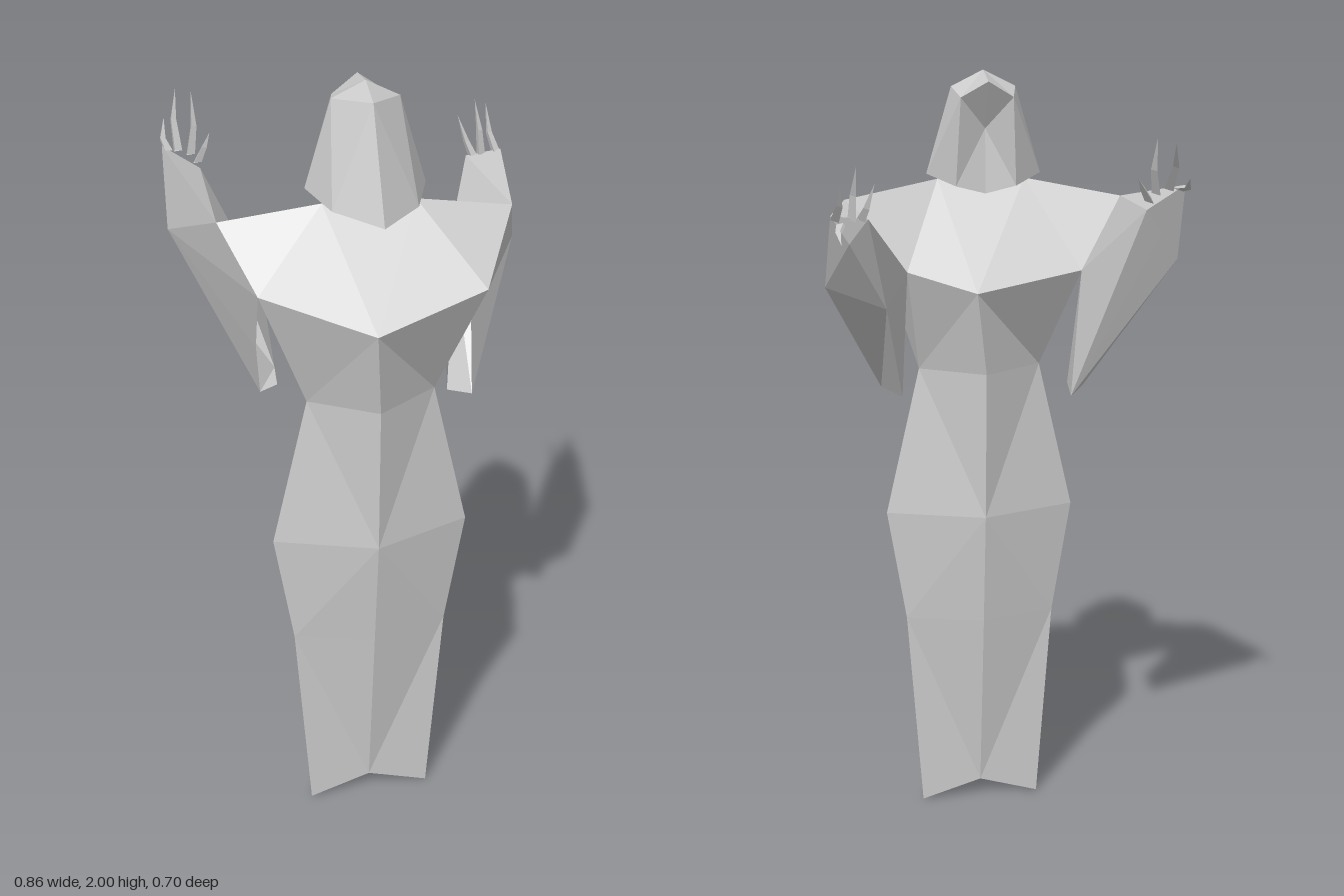
import * as THREE from 'three';

const material = new THREE.MeshStandardMaterial({
  color: 0xcccccc, flatShading: true, side: THREE.DoubleSide,
});

// Faceted panel mesh: named corners, and faces written as lists of corner names
function facets(name, corners, faces) {
  const pos = [];
  for (const face of faces) {
    const p = face.split(' ').map((key) => corners[key]);
    for (let i = 1; i < p.length - 1; i++) pos.push(...p[0], ...p[i], ...p[i + 1]);
  }
  const geo = new THREE.BufferGeometry();
  geo.setAttribute('position', new THREE.Float32BufferAttribute(pos, 3));
  geo.computeVertexNormals();
  const mesh = new THREE.Mesh(geo, material);
  mesh.name = name;
  return mesh;
}

// Robe skirt: diamond cross-sections tapering to a flat notched hem
function skirt() {
  const rows = [ // y, half width, front z, back z
    [1.23, 0.16, 0.28, 0.07],
    [0.84, 0.25, 0.27, 0.085],
    [0.54, 0.2, 0.235, 0.115],
    [0, 0.16, 0.178, 0.172],
  ];
  const corners = {}, faces = [];
  rows.forEach(([y, w, front, back], i) => {
    const mid = i === 3 ? 0.05 : y;
    corners['a' + i] = [0, mid, front];
    corners['b' + i] = [w, y, 0.178];
    corners['c' + i] = [0, mid, back];
    corners['d' + i] = [-w, y, 0.178];
    if (i === 0) return;
    const j = i - 1;
    for (const [center, side] of ['ab', 'cb', 'cd', 'ad']) {
      const [c0, s0, c1, s1] = [center + j, side + j, center + i, side + i];
      if (i === 2) faces.push(`${c0} ${s0} ${s1}`, `${c0} ${s1} ${c1}`);
      else faces.push(`${c0} ${s0} ${c1}`, `${s0} ${s1} ${c1}`);
    }
  });
  return facets('robeSkirt', corners, faces);
}

// Sleeve corners: shoulder, elbow, armpit, outer knuckle, cuff 1-3,
// hem notch, hem outer, hem inner, inner fold
const leftArm = {
  shoulder: [0.35, 1.68, 0.145], elbow: [0.25, 1.54, 0.3], armpit: [0.2, 1.5, 0.09],
  outer: [0.425, 1.5, -0.07],
  cuff1: [0.42, 1.69, -0.18], cuff2: [0.33, 1.68, -0.18], cuff3: [0.375, 1.62, -0.17],
  notch: [0.26, 1.38, 0.14], hemOut: [0.262, 1.19, 0.16], hemIn: [0.215, 1.175, 0.1],
  fold: [0.275, 1.44, -0.07],
};
const rightArm = {
  shoulder: [-0.35, 1.68, 0.09], elbow: [-0.28, 1.54, 0.22], armpit: [-0.24, 1.5, 0.04],
  outer: [-0.43, 1.56, -0.17],
  cuff1: [-0.425, 1.75, -0.24], cuff2: [-0.335, 1.69, -0.225], cuff3: [-0.38, 1.63, -0.2],
  notch: [-0.27, 1.36, 0.12], hemOut: [-0.25, 1.2, 0.05], hemIn: [-0.205, 1.21, 0.04],
  fold: [-0.19, 1.2, -0.07],
};

const sleeve = (name, arm) => facets(name, arm, [
  'shoulder cuff1 outer', 'shoulder outer elbow', 'elbow outer notch', 'notch outer hemOut',
  'shoulder cuff2 cuff1', 'shoulder armpit cuff2', 'armpit fold cuff2',
  'armpit hemIn fold', 'cuff1 cuff3 outer', 'cuff2 fold cuff3',
  'outer cuff3 fold', 'outer fold hemOut', 'hemOut fold hemIn', 'cuff1 cuff2 cuff3',
]);

// Cloaked torso: wide shoulders narrowing to the waist
function torso() {
  const corners = {
    waistF: [0, 1.23, 0.28], waistB: [0, 1.23, 0.07],
    waistL: [0.16, 1.23, 0.178], waistR: [-0.16, 1.23, 0.178],
    chest: [-0.02, 1.46, 0.33], spine: [0.03, 1.45, 0.03],
    neckL: [0.11, 1.725, 0.16], neckR: [-0.11, 1.725, 0.14],
  };
  const faces = ['chest neckL neckR', 'spine neckL neckR'];
  for (const [s, arm] of [['L', leftArm], ['R', rightArm]]) {
    for (const key of ['shoulder', 'elbow', 'armpit']) corners[key + s] = arm[key];
    faces.push(
      `neck${s} shoulder${s} elbow${s} chest`, `neck${s} shoulder${s} armpit${s} spine`,
      `chest elbow${s} waist${s}`, `chest waist${s} waistF`,
      `spine armpit${s} waist${s}`, `spine waist${s} waistB`,
      `elbow${s} armpit${s} waist${s}`,
    );
  }
  return facets('torso', corners, faces);
}

// Pointed hood with a hollow opening
function hood() {
  const corners = {
    top: [0, 2, 0.1], crown: [0, 1.98, 0.2], tip: [0, 1.74, 0.35],
    brow: [0, 1.98, -0.01], hollow: [0, 1.86, 0.06], chin: [0, 1.7, 0.1], jaw: [0, 1.7, 0.05],
  };
  const faces = [];
  for (const [s, k] of [['L', 1], ['R', -1]]) {
    corners['temple' + s] = [0.08 * k, 1.96, 0.1];
    corners['rim' + s] = [0.065 * k, 1.94, 0.015];
    corners['wide' + s] = [0.143 * k, 1.745, 0.1];
    corners['rear' + s] = [0.1 * k, 1.74, 0.235];
    corners['cheek' + s] = [0.075 * k, 1.72, 0.04];
    faces.push(
      `top crown temple${s}`, `crown tip rear${s}`, `crown rear${s} temple${s}`,
      `temple${s} rear${s} wide${s}`, `top temple${s} rim${s} brow`,
      `temple${s} wide${s} rim${s}`, `rim${s} wide${s} cheek${s}`,
      `brow rim${s} hollow`, `rim${s} cheek${s} hollow`, `hollow cheek${s} jaw`,
      `tip rear${s} chin`, `rear${s} wide${s} chin`, `wide${s} cheek${s} chin`,
      `cheek${s} jaw chin`,
    );
  }
  // slight turn of the head
  for (const p of Object.values(corners)) {
    const [x, , z] = p;
    p[0] = x - 0.06 * (z - 0.15);
    p[2] = z + 0.08 * x;
  }
  return facets('hood', corners, faces);
}

// Curved claw finger: two shrinking triangular rings and a tip
function finger(base, mid, tip) {
  const corners = { tip }, faces = [];
  [[base, 0.013], [mid, 0.009]].forEach(([c, r], i) => {
    for (let k = 0; k < 3; k++) {
      const a = (k / 3) * Math.PI * 2;
      corners[`${i}${k}`] = [c[0] + r * Math.cos(a), c[1] + r * 0.5 * Math.sin(a), c[2] + r * Math.sin(a)];
    }
  });
  for (let k = 0; k < 3; k++) {
    const n = (k + 1) % 3;
    faces.push(`0${k} 0${n} 1${n} 1${k}`, `1${k} 1${n} tip`);
  }
  return facets('finger', corners, faces);
}

function hand(name, fingers) {
  const group = new THREE.Group();
  group.name = name;
  for (const f of fingers) group.add(finger(...f));
  return group;
}

export function createModel() {
  const model = new THREE.Group();
  model.name = 'robedFigure';
  model.add(
    skirt(), torso(), hood(),
    sleeve('leftSleeve', leftArm), sleeve('rightSleeve', rightArm),
    hand('leftHand', [
      [[0.345, 1.68, -0.175], [0.335, 1.71, -0.2], [0.32, 1.77, -0.23]],
      [[0.366, 1.68, -0.175], [0.365, 1.74, -0.19], [0.362, 1.81, -0.225]],
      [[0.392, 1.67, -0.175], [0.405, 1.66, -0.23], [0.408, 1.64, -0.3]],
      [[0.407, 1.68, -0.175], [0.4, 1.72, -0.22], [0.405, 1.78, -0.27]],
    ]),
    hand('rightHand', [
      [[-0.345, 1.71, -0.215], [-0.325, 1.74, -0.23], [-0.305, 1.77, -0.25]],
      [[-0.36, 1.73, -0.22], [-0.345, 1.79, -0.25], [-0.342, 1.87, -0.285]],
      [[-0.39, 1.74, -0.225], [-0.39, 1.8, -0.28], [-0.373, 1.86, -0.335]],
      [[-0.413, 1.74, -0.23], [-0.417, 1.75, -0.29], [-0.402, 1.78, -0.355]],
    ]),
  );
  return model;
}
